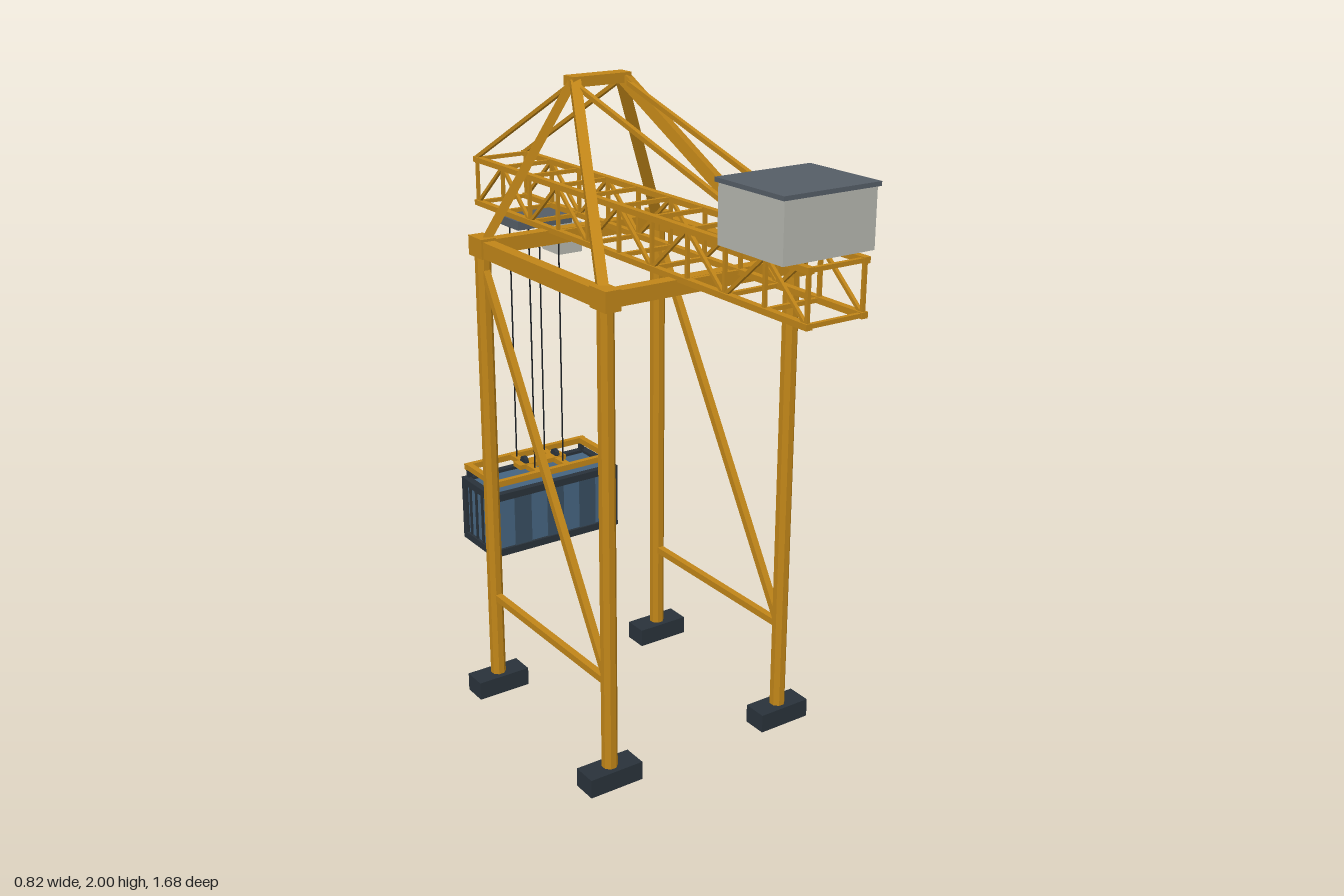
import * as THREE from 'three';

const mat = (color) => new THREE.MeshStandardMaterial({ color, flatShading: true });
const yellow = mat(0xc08518), dark = mat(0x29323a), slate = mat(0x555d66), wall = mat(0xb4b6ae);
const blue = mat(0x456480), blueDark = mat(0x374d60), cable = mat(0x1c2024), glass = mat(0x3a5878);

const V = (x, y, z) => new THREE.Vector3(x, y, z);

function add(parent, name, geometry, material, x = 0, y = 0, z = 0) {
  const mesh = new THREE.Mesh(geometry, material);
  mesh.name = name;
  mesh.position.set(x, y, z);
  parent.add(mesh);
  return mesh;
}

function box(parent, name, material, w, h, d, x, y, z) {
  return add(parent, name, new THREE.BoxGeometry(w, h, d), material, x, y, z);
}

// Square bar running between two points
function bar(parent, name, material, a, b, w, h = w) {
  const mesh = add(parent, name, new THREE.BoxGeometry(w, h, a.distanceTo(b)), material);
  mesh.position.copy(a).add(b).multiplyScalar(0.5);
  mesh.lookAt(b);
  return mesh;
}

function group(parent, name, x = 0, y = 0, z = 0) {
  const g = new THREE.Group();
  g.name = name;
  g.position.set(x, y, z);
  parent.add(g);
  return g;
}

const LEG_X = 0.318, FRONT_Z = 0.28, BACK_Z = -0.394, APEX_Z = -0.243;

function buildPortal(root) {
  const portal = group(root, 'portalFrame');
  const legGeo = new THREE.CylinderGeometry(0.0245, 0.0245, 1.44, 8);
  legGeo.rotateY(Math.PI / 8);
  for (const s of [-1, 1]) {
    const x = s * LEG_X;
    for (const z of [FRONT_Z, BACK_Z]) {
      box(portal, 'foot', dark, 0.18, 0.06, 0.08, x, 0.03, z);
      add(portal, 'leg', legGeo, yellow, x, 0.77, z);
      box(portal, 'cornerBlock', yellow, 0.05, 0.06, 0.08, x, 1.5, z);
    }
    box(portal, 'sideBeam', yellow, 0.038, 0.05, FRONT_Z - BACK_Z, x, 1.497, (FRONT_Z + BACK_Z) / 2);
    bar(portal, 'sideTie', yellow, V(x, 0.34, FRONT_Z), V(x, 0.34, BACK_Z), 0.022);
    bar(portal, 'sideBrace', yellow, V(x, 0.35, FRONT_Z - 0.01), V(x, 1.43, BACK_Z + 0.01), 0.022);
  }
  for (const z of [FRONT_Z, BACK_Z]) box(portal, 'crossBeam', yellow, 2 * LEG_X, 0.045, 0.04, 0, 1.498, z);
}

function buildMast(root) {
  const mast = group(root, 'mast');
  box(mast, 'apexBeam', yellow, 0.2, 0.03, 0.055, 0, 1.985, APEX_Z);
  for (const s of [-1, 1]) {
    bar(mast, 'frontStrut', yellow, V(s * 0.312, 1.51, 0.26), V(s * 0.085, 1.98, -0.23), 0.03, 0.034);
    bar(mast, 'backStrut', yellow, V(s * 0.312, 1.51, -0.39), V(s * 0.085, 1.98, -0.25), 0.026);
    bar(mast, 'frontStay', yellow, V(s * 0.085, 1.98, APEX_Z), V(s * 0.085, 1.742, 0.57), 0.014);
    bar(mast, 'backStay', yellow, V(s * 0.085, 1.98, APEX_Z), V(s * 0.09, 1.67, -0.835), 0.012);
  }
}

function buildBoom(root) {
  const boom = group(root, 'boom');
  const bays = 10, end = 0.833, low = 1.523, high = 1.665, x = 0.09;
  const nodeZ = (i) => end - (2 * end * i) / bays;
  for (const s of [-1, 1]) {
    for (const y of [low, high]) box(boom, 'chord', yellow, 0.02, 0.017, 1.685, s * x, y, 0);
    for (let i = 0; i <= bays; i++) {
      bar(boom, 'post', yellow, V(s * x, low, nodeZ(i)), V(s * x, high, nodeZ(i)), 0.01);
      if (i === bays) continue;
      const [a, b] = i % 2 ? [high, low] : [low, high];
      bar(boom, 'lacing', yellow, V(s * x, a, nodeZ(i)), V(s * x, b, nodeZ(i + 1)), 0.01);
    }
  }
  for (let i = 0; i <= bays; i++)
    for (const y of [low, high]) box(boom, 'rung', yellow, 2 * x, 0.012, 0.012, 0, y, nodeZ(i));
}

function buildHouse(root) {
  const house = group(root, 'machineHouse', 0, 0, 0.672);
  box(house, 'houseWalls', wall, 0.295, 0.165, 0.262, 0, 1.757, 0);
  box(house, 'houseRoof', slate, 0.31, 0.012, 0.275, 0, 1.843, 0);
}

const LOAD_Z = -0.634;

function buildTrolley(root) {
  const trolley = group(root, 'trolley', 0, 0, LOAD_Z);
  box(trolley, 'trolleyDeck', slate, 0.2, 0.028, 0.145, 0, 1.497, 0);
  box(trolley, 'cabin', wall, 0.09, 0.1, 0.102, 0.104, 1.427, 0);
  box(trolley, 'cabinWindow', glass, 0.076, 0.066, 0.006, 0.104, 1.432, -0.052);
  for (const x of [-0.055, 0.055])
    for (const z of [-0.062, 0.06])
      add(trolley, 'hoistRope', new THREE.CylinderGeometry(0.0025, 0.0025, 0.84, 6), cable, x, 1.07, z);
}

function buildSpreader(root) {
  const spreader = group(root, 'spreader', 0, 0.655, LOAD_Z);
  for (const s of [-1, 1]) {
    box(spreader, 'longRail', yellow, 0.47, 0.02, 0.018, 0, 0, s * 0.094);
    box(spreader, 'endRail', yellow, 0.02, 0.02, 0.2, s * 0.222, 0, 0);
    box(spreader, 'innerRail', yellow, 0.022, 0.018, 0.19, s * 0.055, 0, 0);
    for (const t of [-1, 1]) box(spreader, 'twistLock', dark, 0.016, 0.035, 0.016, s * 0.222, -0.025, t * 0.092);
    const sheave = add(spreader, 'sheave', new THREE.CylinderGeometry(0.018, 0.018, 0.014, 10), dark, s * 0.06, 0.014, 0);
    sheave.rotation.z = Math.PI / 2;
  }
  box(spreader, 'centrePlate', yellow, 0.18, 0.016, 0.045, 0, 0.003, 0);
}

function buildContainer(root) {
  const W = 0.49, H = 0.222, D = 0.212, t = 0.024;
  const c = group(root, 'container', 0, 0.508, LOAD_Z);
  box(c, 'containerBody', blue, W - 0.02, H - 0.02, D - 0.02, 0, 0, 0);
  // Dark edge frame
  for (const a of [-1, 1])
    for (const b of [-1, 1]) {
      box(c, 'longEdge', dark, W, t, t, 0, a * (H - t) / 2, b * (D - t) / 2);
      box(c, 'cornerPost', dark, t, H, t, a * (W - t) / 2, 0, b * (D - t) / 2);
      box(c, 'endEdge', dark, t, t, D, a * (W - t) / 2, b * (H - t) / 2, 0);
    }
  // Alternating ribs along the long sides
  const ribs = 7, step = (W - 2 * t) / ribs;
  for (const s of [-1, 1])
    for (let i = 1; i < ribs; i += 2)
      box(c, 'sideRib', blueDark, step, H - 2 * t, 0.006, (i - (ribs - 1) / 2) * step, 0, s * (D / 2 - 0.009));
  // Door bars
  for (const z of [-0.06, -0.02, 0.02, 0.06])
    box(c, 'doorBar', dark, 0.008, H - 2 * t, 0.008, -W / 2 + 0.008, 0, z);
}

export function createModel() {
  const root = new THREE.Group();
  root.name = 'containerCrane';
  buildPortal(root);
  buildMast(root);
  buildBoom(root);
  buildHouse(root);
  buildTrolley(root);
  buildSpreader(root);
  buildContainer(root);
  return root;
}
